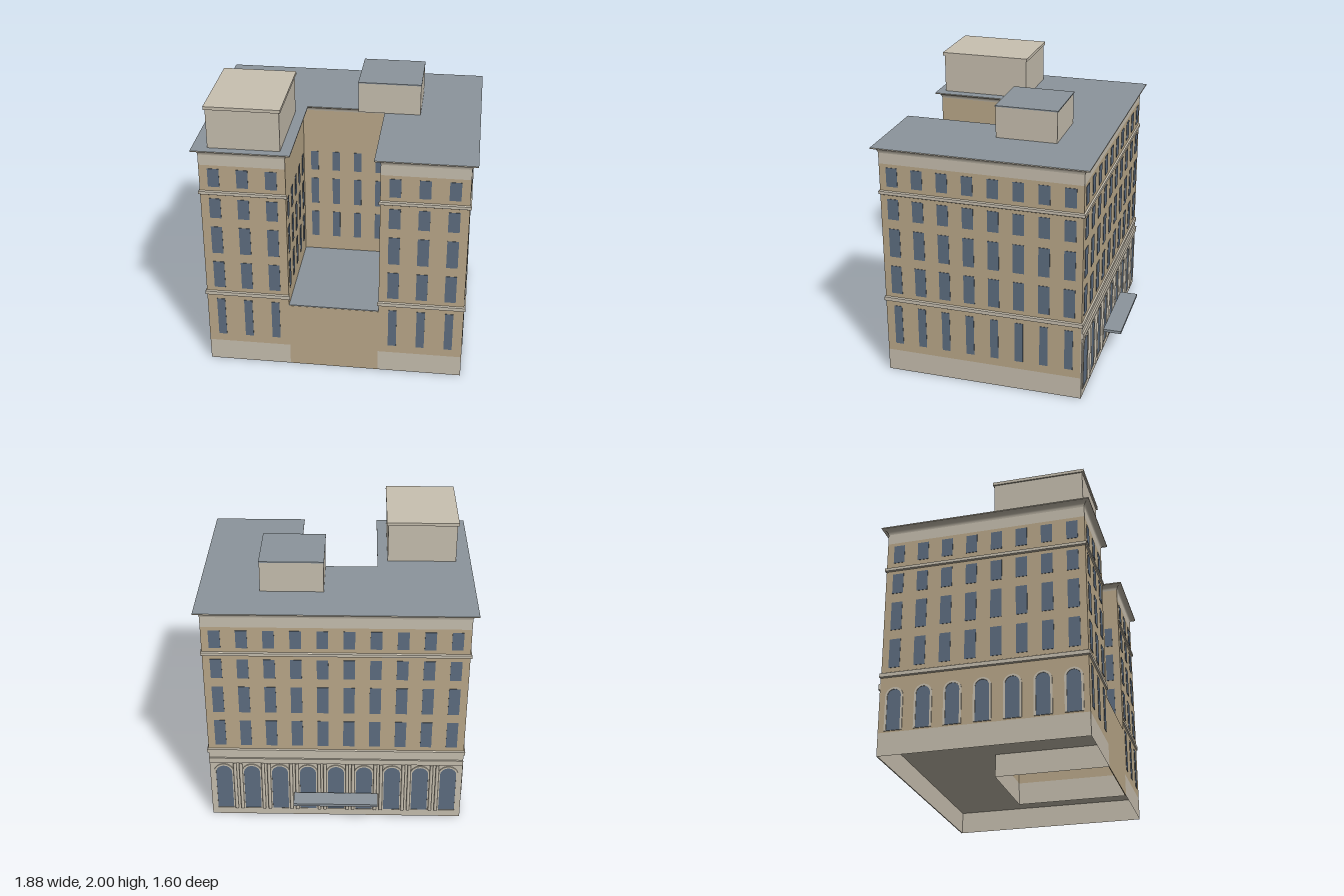
import * as THREE from 'three';
import { mergeGeometries, toCreasedNormals } from 'three/addons/utils/BufferGeometryUtils.js';

const material = (name, color) => {
  const m = new THREE.MeshStandardMaterial({ color, side: THREE.DoubleSide });
  m.name = name;
  return m;
};

// Plan: a block with a light court cut into the front
const W = 0.9025, FRONT = 0.757, BACK = -0.648;
const COURT_L = -0.319, COURT_R = 0.311, COURT_BACK = -0.025;

// U-shaped outline, pushed outward by d
const outline = (d) => [
  [COURT_R - d, FRONT + d], [W + d, FRONT + d], [W + d, BACK - d], [-W - d, BACK - d],
  [-W - d, FRONT + d], [COURT_L + d, FRONT + d], [COURT_L + d, COURT_BACK + d], [COURT_R - d, COURT_BACK + d],
];
const OUTER = [0, 1, 2, 3, 4, 5];
const COURT = [5, 6, 7, 0];
const ALL = [0, 1, 2, 3, 4, 5, 6, 7, 0];

// Sweep a profile of [offset, height] points along part of the outline
function sweep(path, profile) {
  const pos = [];
  for (let k = 0; k < profile.length - 1; k++) {
    const [d0, y0] = profile[k], [d1, y1] = profile[k + 1];
    const low = outline(d0), high = outline(d1);
    for (let i = 0; i < path.length - 1; i++) {
      const [p, q] = [path[i], path[i + 1]];
      const a = [low[p][0], y0, low[p][1]], b = [low[q][0], y0, low[q][1]];
      const c = [high[q][0], y1, high[q][1]], e = [high[p][0], y1, high[p][1]];
      pos.push(...a, ...b, ...c, ...a, ...c, ...e);
    }
  }
  const g = new THREE.BufferGeometry();
  g.setAttribute('position', new THREE.Float32BufferAttribute(pos, 3));
  g.computeVertexNormals();
  return toCreasedNormals(g, 0.6);
}

// Horizontal U-shaped sheet
function sheet(d, y) {
  const shape = new THREE.Shape(outline(d).map(([x, z]) => new THREE.Vector2(x, -z)));
  return new THREE.ShapeGeometry(shape).rotateX(-Math.PI / 2).translate(0, y, 0);
}

// Box given by its limits
function box(x0, x1, y0, y1, z0, z1) {
  return new THREE.BoxGeometry(x1 - x0, y1 - y0, z1 - z0)
    .translate((x0 + x1) / 2, (y0 + y1) / 2, (z0 + z1) / 2);
}

// Round-headed opening, w wide, from y0 to y1
function archPath(Type, w, y0, y1) {
  const p = new Type();
  p.moveTo(-w / 2, y0);
  p.lineTo(w / 2, y0);
  p.lineTo(w / 2, y1 - w / 2);
  p.absarc(0, y1 - w / 2, w / 2, 0, Math.PI, false);
  p.lineTo(-w / 2, y0);
  return p;
}

const extrude = (shape, depth) =>
  new THREE.ExtrudeGeometry(shape, { depth, bevelEnabled: false, curveSegments: 8 });

const centres = (length, n) => Array.from({ length: n }, (_, i) => (i + 0.5) * length / n - length / 2);

export function createModel() {
  const stone = material('paleStone', 0xc9c1b1);
  const brick = material('tanBrick', 0xbcaa8b);
  const glass = material('windowGlass', 0x5f6f82);
  const roofing = material('greyRoofing', 0x8c959c);

  const model = new THREE.Group();
  model.name = 'building';
  const add = (name, geometry, mat, parent = model) => {
    const mesh = new THREE.Mesh(geometry, mat);
    mesh.name = name;
    parent.add(mesh);
    return mesh;
  };

  // Shell
  add('stoneBase', sweep(ALL, [[0, 0], [0, 0.16]]), stone);
  add('underside', sheet(0, 0.16), stone);
  add('outerWalls', sweep(OUTER, [[0, 0.16], [0, 1.58]]), brick);
  add('courtWalls', sweep(COURT, [[0, 0.16], [0, 1.66]]), brick);
  add('frieze', sweep(OUTER, [[0, 1.58], [0, 1.66]]), stone);
  add('lowerBelt', sweep(OUTER, [[0, 0.55], [0.01, 0.556], [0.01, 0.582], [0, 0.588]]), stone);
  add('upperBelt', sweep(OUTER, [[0, 1.356], [0.01, 1.362], [0.01, 1.383], [0, 1.389]]), stone);

  // Coved cornice and roof
  const cove = [];
  for (let i = 0; i <= 5; i++) {
    const a = (i / 5) * Math.PI / 2;
    cove.push([0.04 * (1 - Math.cos(a)), 1.655 + 0.037 * Math.sin(a)]);
  }
  cove.push([0.04, 1.7]);
  add('cornice', sweep(ALL, cove), stone);
  add('roof', sheet(0.04, 1.7), roofing);

  // Court floor and the wall closing it at street level
  add('courtFloor', box(COURT_L, COURT_R, 0.5, 0.506, COURT_BACK, FRONT - 0.002), roofing);
  add('courtFrontWall', box(COURT_L, COURT_R, 0, 0.5, FRONT - 0.006, FRONT), brick);

  // Rooftop houses
  add('largeRoofHouse', box(-0.838, -0.352, 1.7, 1.98, 0.108, 0.738), stone);
  add('largeRoofHouseCap', box(-0.848, -0.342, 1.978, 2, 0.098, 0.75), stone);
  add('smallRoofHouse', box(0.088, 0.522, 1.7, 1.918, -0.365, 0.062), stone);
  add('smallRoofHouseCap', box(0.085, 0.525, 1.918, 1.926, -0.37, 0.066), roofing);

  // Facades: local x runs along the wall, local z points outward
  const facade = (name, x, z, turn) => {
    const g = new THREE.Group();
    g.name = name;
    g.position.set(x, 0, z);
    g.rotation.y = turn;
    model.add(g);
    return g;
  };
  const windows = (parent, length, columns, rows) => {
    const panes = [];
    for (const [y0, y1, w] of rows)
      for (const c of centres(length, columns)) panes.push(box(c - w / 2, c + w / 2, y0, y1, -0.002, 0.003));
    add('windows', mergeGeometries(panes), glass, parent);
  };
  const arches = (parent, length, n, w, y0, y1, lift) => {
    for (const c of centres(length, n)) {
      const trim = archPath(THREE.Shape, w + 0.028, y0, y1 + 0.014);
      trim.holes.push(archPath(THREE.Path, w, y0 + 0.001, y1));
      add('archTrim', extrude(trim, 0.007), stone, parent).position.set(c, 0, lift);
      add('archWindow', extrude(archPath(THREE.Shape, w, y0, y1), 0.003), glass, parent).position.set(c, 0, lift);
    }
  };

  const tall = [0.22, 0.52, 0.058];
  const upper = [[0.62, 0.83, 0.078], [0.9, 1.11, 0.078], [1.18, 1.33, 0.078], [1.42, 1.555, 0.078]];
  const courtRows = upper.slice(0, 3).map(([a, b]) => [a, b, 0.055]);
  const depth = FRONT - BACK, midZ = (FRONT + BACK) / 2;
  const courtDepth = FRONT - COURT_BACK, courtMidZ = (FRONT + COURT_BACK) / 2;
  const H = Math.PI / 2;

  windows(facade('frontRightWing', (COURT_L - W) / 2, FRONT, 0), COURT_L + W, 3, [tall, ...upper]);
  windows(facade('frontLeftWing', (COURT_R + W) / 2, FRONT, 0), W - COURT_R, 3, [tall, ...upper]);
  windows(facade('leftFacade', W, midZ, H), depth, 8, [tall, ...upper]);
  windows(facade('courtBack', (COURT_L + COURT_R) / 2, COURT_BACK, 0), COURT_R - COURT_L, 4, courtRows);
  windows(facade('courtRightSide', COURT_L, courtMidZ, H), courtDepth, 5, courtRows);
  windows(facade('courtLeftSide', COURT_R, courtMidZ, -H), courtDepth, 5, courtRows);

  // Right side with arched ground floor
  const right = facade('rightFacade', -W, midZ, -H);
  windows(right, depth, 8, upper);
  arches(right, depth, 7, 0.095, 0.17, 0.46, 0);

  // Back: stone arcade with paired columns and canopy
  const back = facade('backFacade', 0, BACK, Math.PI);
  windows(back, 2 * W, 10, upper);
  add('arcadeWall', box(-W, W, 0, 0.552, -0.004, 0.004), stone, back);
  arches(back, 2 * W, 9, 0.115, 0.06, 0.44, 0.004);
  add('entablature', box(-W, W, 0.47, 0.51, 0, 0.016), stone, back);
  for (let i = 1; i < 9; i++) {
    for (const s of [-1, 1]) {
      const column = add('column', new THREE.CylinderGeometry(0.012, 0.012, 0.41, 12), stone, back);
      column.position.set(-W + i * 2 * W / 9 + s * 0.021, 0.265, 0.011);
    }
  }
  add('canopy', box(-0.3, 0.3, 0.196, 0.216, 0.022, 0.152), roofing, back);

  return model;
}
